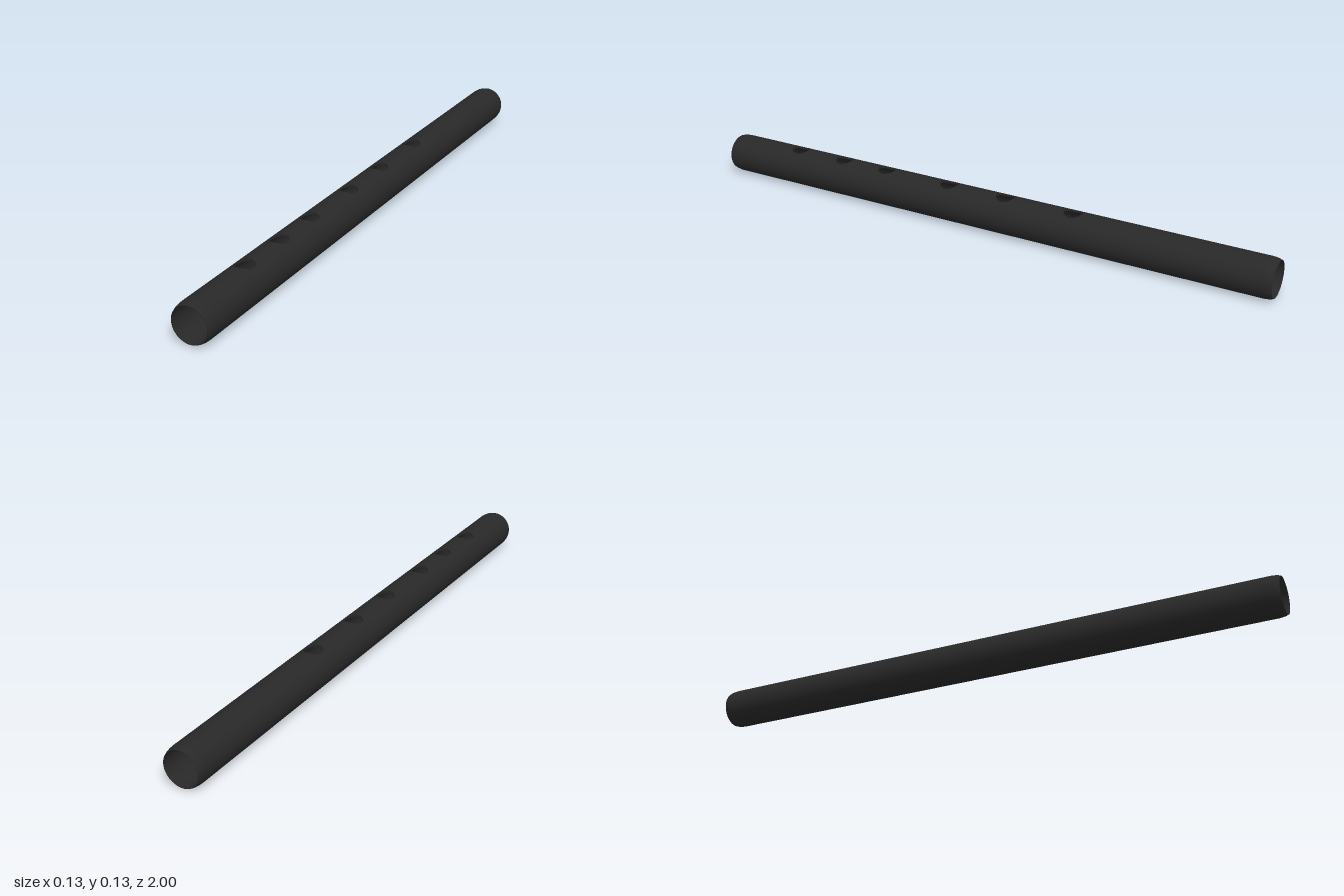
import * as THREE from 'three';
import { ParametricGeometry } from 'three/addons/geometries/ParametricGeometry.js';
import { mergeGeometries } from 'three/addons/utils/BufferGeometryUtils.js';

const OUTER = 0.065, INNER = 0.058, CENTRE_Y = 0.066;
const BODY_END = 0.97;            // where the rounded rims start
const HOLE_R = 0.031, PATCH = 0.05; // finger hole radius, half length of the patch around it
const BAND = Math.PI / 4;         // half angle of the top band that carries the holes
const HOLES = [-0.33, -0.087, 0.124, 0.368, 0.543, 0.728];

// Point on a tube of radius r; angle is measured from the top towards +x
const onTube = (r, angle, z, out) => out.set(r * Math.sin(angle), r * Math.cos(angle), z);

// Point on the outline of the square [-1, 1] x [-1, 1]
function onSquare(s) {
  const side = Math.floor(s * 4) % 4, f = (s * 4 % 1) * 2 - 1;
  return [[1, f], [-f, 1], [-1, -f], [f, -1]][side];
}

// Edge of a drilled hole, as x and z offsets in the direction of the square's outline
function holeEdge(s) {
  const [p, q] = onSquare(s), l = Math.hypot(p, q);
  return [HOLE_R * p / l, HOLE_R * q / l];
}

// Tube wall at one radius with the round holes left open
function wall(r, inward) {
  const parts = [];
  const add = (f, slices, stacks) => parts.push(new ParametricGeometry(
    (u, v, out) => f(inward ? 1 - u : u, v, out), slices, stacks));
  const strip = (z0, z1, a0, a1, segments) => add((u, v, out) =>
    onTube(r, a0 + (a1 - a0) * v, z0 + (z1 - z0) * u, out), 1, segments);

  // Plain sides and underside
  strip(-BODY_END, BODY_END, BAND, Math.PI * 2 - BAND, 48);

  // Top band: plain lengths between square patches with a hole
  let start = -BODY_END;
  for (const z of HOLES) {
    strip(start, z - PATCH, -BAND, BAND, 16);
    add((u, v, out) => {
      const [p, q] = onSquare(u), [x, dz] = holeEdge(u);
      const angle = THREE.MathUtils.lerp(Math.asin(x / r), p * BAND, v);
      return onTube(r, angle, z + THREE.MathUtils.lerp(dz, q * PATCH, v), out);
    }, 64, 6);
    start = z + PATCH;
  }
  strip(start, BODY_END, -BAND, BAND, 16);
  return mergeGeometries(parts);
}

export function createModel() {
  const group = new THREE.Group();
  group.name = 'flute';
  const material = new THREE.MeshStandardMaterial({ color: 0x282828, side: THREE.DoubleSide });
  const add = (name, geometry) => {
    const mesh = new THREE.Mesh(geometry, material);
    mesh.name = name;
    mesh.position.y = CENTRE_Y;
    group.add(mesh);
    return mesh;
  };

  add('outerTube', wall(OUTER, false));
  add('bore', wall(INNER, true));

  // Sides of the finger holes, joining the bore to the outside
  HOLES.forEach((z, i) => {
    add('fingerHole' + (i + 1), new ParametricGeometry((u, v, out) => {
      const [x, dz] = holeEdge(u), r = THREE.MathUtils.lerp(INNER, OUTER, v);
      return onTube(r, Math.asin(x / r), z + dz, out);
    }, 64, 1));
  });

  // Rounded rims at both open ends
  const profile = [[OUTER, BODY_END], [0.0643, 0.98], [0.0625, 0.991], [0.0595, 1], [INNER, 1], [INNER, BODY_END]]
    .map(([x, y]) => new THREE.Vector2(x, y));
  for (const [name, turn] of [['frontRim', 1], ['backRim', -1]]) {
    add(name, new THREE.LatheGeometry(profile, 64).rotateX(turn * Math.PI / 2));
  }
  return group;
}
